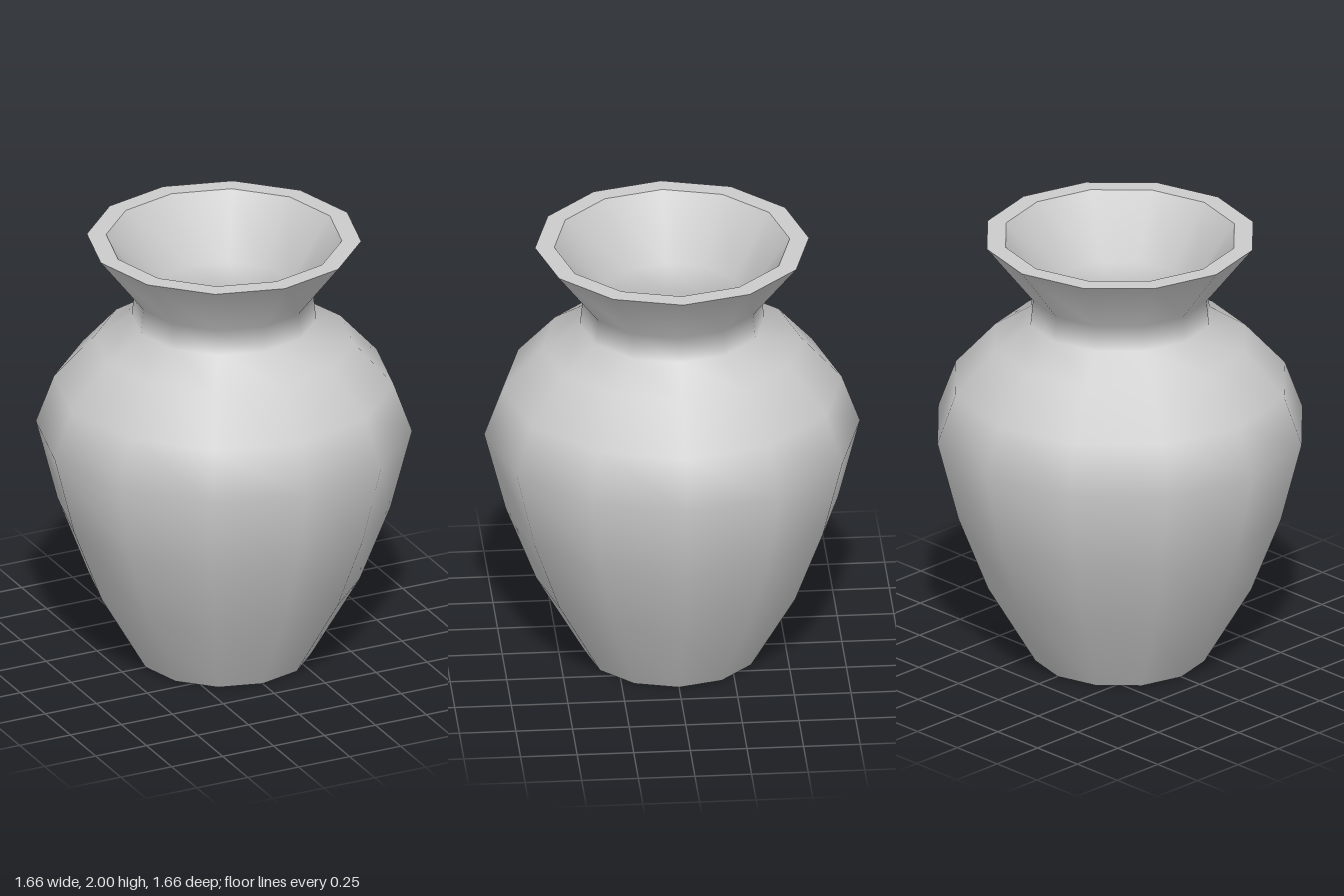
import * as THREE from 'three';

const SIDES = 12;

// Turns a profile of [radius, height] pairs into a 12-sided, smooth-shaded surface
function turned(name, profile, material) {
  const points = profile.map(([r, y]) => new THREE.Vector2(r, y));
  const mesh = new THREE.Mesh(new THREE.LatheGeometry(points, SIDES), material);
  mesh.name = name;
  return mesh;
}

export function createModel() {
  const vase = new THREE.Group();
  vase.name = 'vase';
  const clay = new THREE.MeshStandardMaterial({ color: 0xcccccc, side: THREE.DoubleSide });

  // Profiles run as one closed outline, split where the edges are sharp
  vase.add(
    // Shallow recess under the foot
    turned('footRecess', [[0, 0.08], [0.36, 0.08]], clay),
    turned('footRim', [[0.36, 0.08], [0.385, 0]], clay),
    // Belly, shoulder, neck and flared mouth
    turned('body', [
      [0.385, 0], [0.6, 0.37], [0.735, 0.72], [0.83, 1.09], [0.75, 1.31],
      [0.57, 1.51], [0.407, 1.615], [0.395, 1.73], [0.605, 2],
    ], clay),
    // Flat lip
    turned('lip', [[0.605, 2], [0.52, 2]], clay),
    // Hollow inside, narrowing down to the floor
    turned('inside', [[0.52, 2], [0.33, 1.73], [0.31, 1.6], [0.27, 0.12], [0, 0.12]], clay),
  );
  return vase;
}
